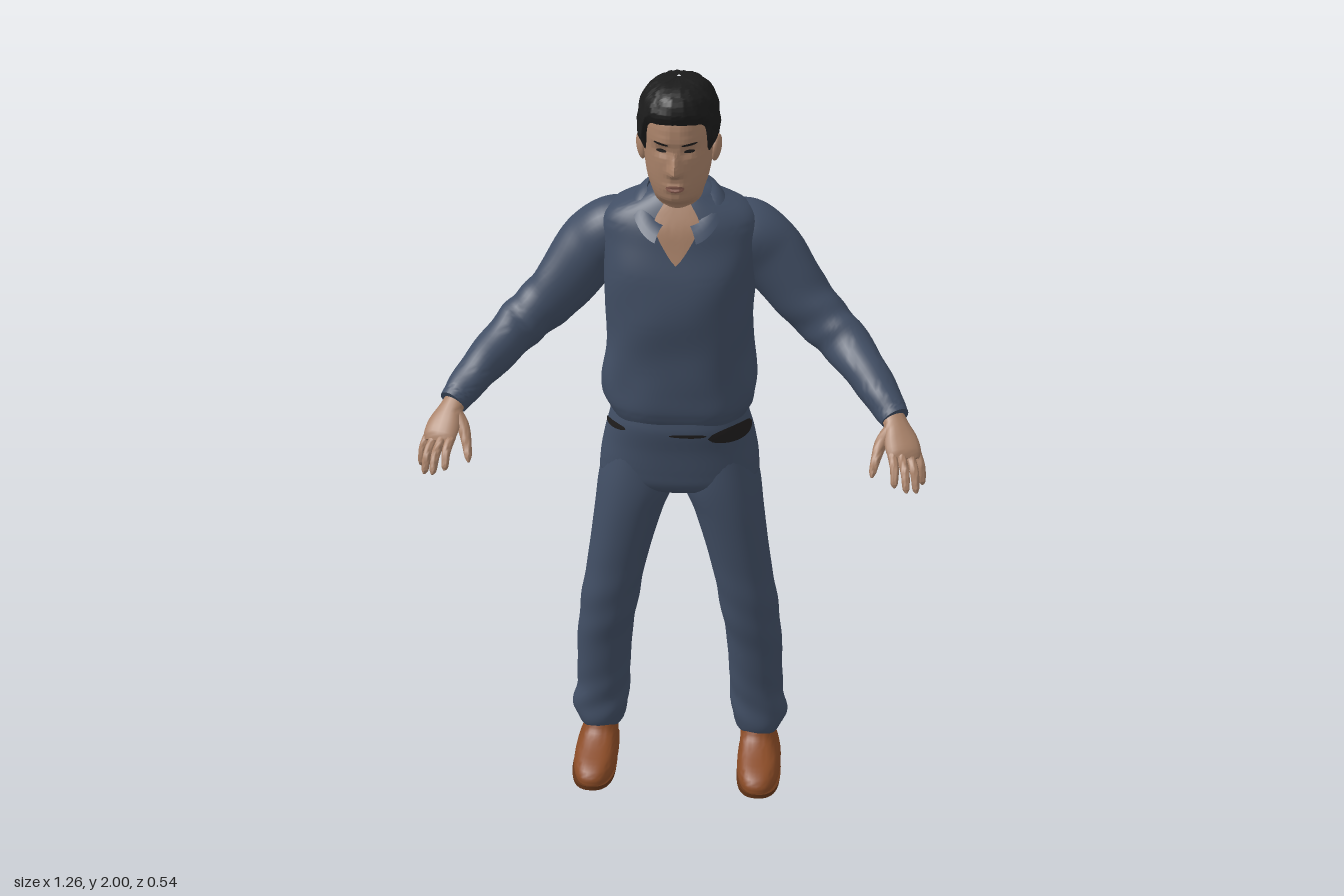
import * as THREE from 'three';
import { toCreasedNormals } from 'three/addons/utils/BufferGeometryUtils.js';

const mat = (name, color, side = THREE.FrontSide) => Object.assign(new THREE.MeshStandardMaterial({ color, side }), { name });
const { sin, cos, abs, sign, PI, min, exp, sqrt } = Math;
const gauss = (d, w) => exp(-((d / w) ** 2));

// Smooth interpolation of table rows, keyed by their first column
function at(rows, k) {
  let i = 0;
  while (i < rows.length - 2 && rows[i + 1][0] <= k) i++;
  const a = rows[i], b = rows[i + 1], p = rows[i - 1] || a, q = rows[i + 2] || b;
  const h = b[0] - a[0], t = THREE.MathUtils.clamp((k - a[0]) / h, 0, 1), t2 = t * t, t3 = t2 * t;
  return a.map((av, c) => {
    const m0 = (b[c] - p[c]) / (b[0] - p[0]) * h, m1 = (q[c] - av) / (q[0] - a[0]) * h;
    return (2 * t3 - 3 * t2 + 1) * av + (t3 - 2 * t2 + t) * m0 + (3 * t2 - 2 * t3) * b[c] + (t3 - t2) * m1;
  });
}

// Surface from a grid of points; point(i, j) returns a Vector3
function grid(point, nu, nv, wrap) {
  const pos = [], idx = [], w = wrap ? nu : nu + 1;
  for (let j = 0; j <= nv; j++) for (let i = 0; i < w; i++) pos.push(...point(i, j).toArray());
  for (let j = 0; j < nv; j++) for (let i = 0; i < nu; i++) {
    const a = j * w + i, b = j * w + (i + 1) % w;
    idx.push(a, b, b + w, a, b + w, a + w);
  }
  const g = new THREE.BufferGeometry();
  g.setAttribute('position', new THREE.Float32BufferAttribute(pos, 3));
  g.setIndex(idx);
  return toCreasedNormals(g, 1.0);
}

// Upright body surface. Rows: [y, centre x, half width, front z, back z]
const body = (rows, e = 1, ripple = () => 0) => (th, y) => {
  const [, cx, rx, zf, zb] = at(rows, y), s = sin(th), c = cos(th), k = 1 + ripple(th, y);
  return new THREE.Vector3(cx + k * rx * sign(s) * abs(s) ** e, y, (zf + zb) / 2 + k * (zf - zb) / 2 * sign(c) * abs(c) ** e);
};

// Closed solid of an upright surface between two heights
function solid(surf, y0, y1, nu = 48, nv = 48) {
  return grid((i, j) => {
    const y = y0 + (y1 - y0) * THREE.MathUtils.clamp((j - 1) / (nv - 2), 0, 1);
    const p = surf(i / nu * 2 * PI, y);
    return j === 0 || j === nv ? p.add(surf(i / nu * 2 * PI + PI, y)).multiplyScalar(0.5) : p;
  }, nu, nv, true);
}

// Thin plate following a surface
function patch(surf, t0, t1, low, high, off = 0.004) {
  return grid((i, j) => {
    const f = i / 16, th = t0 + (t1 - t0) * f, y = low(f) + (high(f) - low(f)) * j / 8;
    return surf(th, y).add(new THREE.Vector3(sin(th) * off, 0, cos(th) * off));
  }, 16, 8, false);
}
const oval = (surf, t0, t1, y, h, off, tilt = 0) => {
  const edge = d => f => y + tilt * (f - 0.5) + d * h * sqrt(Math.max(0, 1 - (2 * f - 1) ** 2));
  return patch(surf, t0, t1, edge(-1), edge(1), off);
};

// Limb swept along a smooth path. Rows: [x, y, z, thickness, breadth]
function limb(rows, s, nu = 24, nv = 30, ripple = () => 0) {
  const curve = new THREE.CatmullRomCurve3(rows.map(r => new THREE.Vector3(r[0] * s, r[1], r[2])));
  const radii = rows.map((r, i) => [i / (rows.length - 1), r[3], r[4]]);
  return grid((i, j) => {
    const t = THREE.MathUtils.clamp((j - 1) / (nv - 2), 0, 1), c = curve.getPoint(t), d = curve.getTangent(t);
    if (j === 0 || j === nv) return c;
    const side = new THREE.Vector3(0, 1, 0).cross(d).negate().normalize(), up = side.clone().cross(d);
    const [, a, b] = at(radii, t), f = i / nu * 2 * PI, k = 1 + ripple(f, t);
    return c.addScaledVector(side, cos(f) * b * k).addScaledVector(up, -sin(f) * a * k);
  }, nu, nv, true);
}

export function createModel() {
  const model = new THREE.Group();
  const cloth = mat('blue cloth', 0x414e64), collarCloth = mat('collar cloth', 0x414e64, THREE.DoubleSide);
  const skin = mat('skin', 0xa98269), hairMat = mat('black hair', 0x1b1b1b), dark = mat('dark detail', 0x1f1d1d, THREE.DoubleSide);
  const lipMat = mat('lips', 0x8d5f52), leather = mat('brown leather', 0x8a4b26), soleMat = mat('sole', 0x653619);
  const add = (name, geo, m) => {
    const mesh = new THREE.Mesh(geo, m);
    mesh.name = name;
    model.add(mesh);
    return mesh;
  };

  // Shirt
  const shirt = body([[1.09, 0, .17, .015, -.225], [1.115, 0, .183, .025, -.238], [1.14, 0, .196, .03, -.25], [1.19, 0, .2, .03, -.255],
    [1.29, 0, .188, .032, -.265], [1.4, 0, .188, .04, -.275], [1.5, 0, .195, .032, -.275], [1.58, 0, .2, .01, -.262],
    [1.63, 0, .192, -.002, -.243], [1.66, 0, .165, -.015, -.222], [1.69, 0, .105, -.03, -.193], [1.71, 0, .07, -.045, -.165]], .8,
  (t, y) => .014 * sin(9 * t + 14 * y) * gauss(y - 1.17, .07) + .008 * sin(5 * t - 30 * y) - .035 * gauss(cos(t) + 1, .02) * gauss(y - 1.4, .2));
  add('shirt', solid(shirt, 1.09, 1.71, 72, 64), cloth);
  add('open neckline', patch(shirt, -.23, .23, f => 1.545 + .2 * abs(f - .5), () => 1.69), skin);

  // Collar folded over around the neck
  const inner = [[0, .075, 1.635], [.6, .075, 1.65], [1.57, .08, 1.708], [3.15, .08, 1.73]];
  const outer = [[0, .12, 1.6], [.6, .125, 1.618], [1.57, .115, 1.683], [3.15, .11, 1.675]];
  add('collar', grid((i, j) => {
    const th = .42 + (2 * PI - .84) * i / 48, a = th > PI ? 2 * PI - th : th;
    const [, r0, y0] = at(inner, a), [, r1, y1] = at(outer, a), f = Math.max(0, j - 2) / 4;
    const r = r0 + (r1 - r0) * f, y = j < 2 ? y0 - .03 * (2 - j) : y0 + (y1 - y0) * f * f;
    return new THREE.Vector3(sin(th) * r, y, -.088 + cos(th) * (r + .012));
  }, 48, 6, false), collarCloth);

  // Trousers: hips, then both legs
  const hips = body([[.865, 0, .03, -.07, -.14], [.885, 0, .13, -.02, -.2], [.91, 0, .2, .003, -.222], [.95, 0, .208, .01, -.235],
    [1.02, 0, .197, .016, -.25], [1.08, 0, .182, .024, -.238], [1.11, 0, .175, .02, -.225]], .82,
  (t, y) => -.05 * gauss(cos(t) + 1, .02) * gauss(y - .93, .07));
  add('hips', solid(hips, .865, 1.11, 64, 30), cloth);
  add('belt pouch', oval(hips, .36, 1.36, 1.077, .022, .012, .012), dark);
  add('beltEnd', oval(hips, -1.35, -.68, 1.08, .009, .008), dark);
  add('beltFront', oval(hips, -.06, .36, 1.077, .005, .006), dark);

  for (const s of [1, -1]) {
    const side = s > 0 ? 'left' : 'right';
    const leg = body([[.1, .22, .055, -.06, -.18], [.115, .22, .064, -.05, -.19], [.15, .222, .076, -.046, -.197], [.23, .213, .073, -.048, -.195],
      [.39, .205, .075, -.03, -.195], [.52, .188, .078, -.01, -.192], [.65, .165, .08, -.003, -.187], [.81, .132, .092, .005, -.204],
      [.9, .109, .104, .005, -.22], [1, .1, .09, -.005, -.225]].map(r => [r[0], r[1] * s, ...r.slice(2)]), .92,
    (t, y) => .035 * sin(60 * y + 3 * s * t) * gauss(y - .17, .1) + .02 * sin(45 * y + 2 * s * t) * gauss(y - .5, .12));
    add(side + 'Leg', solid(leg, .1, 1, 40, 80), cloth);

    // Shoe with sole and heel
    const shoe = body([[.012, .227, .056, .098, -.188], [.03, .227, .06, .1, -.192], [.05, .226, .058, .088, -.192], [.065, .225, .054, .06, -.19],
      [.08, .222, .05, .01, -.188], [.1, .22, .048, -.035, -.185], [.14, .22, .044, -.06, -.175]].map(r => [r[0], r[1] * s, ...r.slice(2)]), .8);
    add(side + 'Shoe', solid(shoe, .012, .14, 40, 24), leather);
    const sole = body([[.006, .228 * s, .059, .101, -.11], [.02, .228 * s, .061, .103, -.12]], .8);
    const heel = body([[0, .226 * s, .05, -.1, -.192], [.02, .226 * s, .052, -.095, -.195]], .7);
    add(side + 'Sole', solid(sole, .006, .02, 40, 6), soleMat);
    add(side + 'Heel', solid(heel, 0, .02, 32, 6), soleMat);

    // Sleeve
    add(side + 'Sleeve', limb([[.1, 1.605, -.135, .06, .07], [.165, 1.573, -.142, .088, .09], [.225, 1.52, -.142, .09, .085], [.3, 1.425, -.118, .078, .066],
      [.36, 1.365, -.1, .07, .06], [.415, 1.32, -.07, .064, .06], [.485, 1.262, .02, .053, .052], [.535, 1.215, .09, .042, .043],
      [.552, 1.198, .117, .036, .037]], s, 32, 60,
    (f, t) => .035 * sin(48 * t + 2 * f) * gauss(t - .62, .25) + .02 * sin(3 * f + 20 * t)), cloth);

    // Hand: palm, four fingers and a thumb
    const hand = { Palm: [[.54, 1.21, .1, .024, .028], [.555, 1.187, .132, .021, .032], [.567, 1.163, .16, .02, .043], [.576, 1.14, .188, .016, .044], [.58, 1.128, .2, .008, .036]] };
    [['Index', .546, 1.14, .193, .555, 1.082, .262], ['Middle', .568, 1.137, .195, .585, 1.072, .268],
      ['Ring', .59, 1.134, .185, .61, 1.06, .245], ['Little', .606, 1.135, .168, .626, 1.06, .2]].forEach(([n, x, y, z, X, Y, Z]) => {
      hand[n + 'Finger'] = [[x, y, z, .012, .012], [(x + X) / 2 + .003, (y + Y) / 2 + .006, (z + Z) / 2 + .004, .011, .011],
        [X * .9 + x * .1, Y * .9 + y * .1, Z * .9 + z * .1, .0085, .0085], [X, Y, Z, .003, .003]];
    });
    hand.Thumb = [[.545, 1.185, .135, .016, .016], [.52, 1.155, .165, .016, .016], [.507, 1.122, .198, .012, .012], [.501, 1.1, .22, .009, .009], [.499, 1.09, .23, .003, .003]];
    for (const [n, rows] of Object.entries(hand)) add(side + n, limb(rows, s, 16, 16), skin);
  }

  // Head and neck, with the features raised by rule
  const skull = body([[1.58, 0, .062, -.035, -.15], [1.67, 0, .06, -.025, -.155], [1.695, 0, .06, -.012, -.158], [1.708, 0, .06, .014, -.16],
    [1.725, 0, .064, .033, -.163], [1.755, 0, .074, .04, -.172], [1.79, 0, .081, .043, -.185], [1.845, 0, .086, .043, -.195],
    [1.9, 0, .087, .044, -.198], [1.94, 0, .08, .03, -.188], [1.965, 0, .064, .01, -.165], [1.98, 0, .04, -.02, -.13], [1.985, 0, .004, -.075, -.085]]);
  const head = (th, y) => {
    const p = skull(th, y);
    if (cos(th) > 0) {
      const x = abs(p.x), dy = y - 1.797;
      p.z += .026 * gauss(x, .008 + .006 * gauss(dy, .02)) * gauss(dy, dy > 0 ? .036 : .011);
      p.z -= .009 * gauss(x - .032, .019) * gauss(y - 1.848, .013);
      p.z += .007 * gauss(x, .024) * gauss(abs(y - 1.756) - .006, .006) + .005 * gauss(x, .025) * gauss(y - 1.72, .012);
      p.z += .004 * gauss(x - .03, .025) * gauss(y - 1.873, .01);
    }
    return p;
  };
  add('head', solid(head, 1.58, 1.985, 112, 110), skin);
  add('lips', oval(head, -.31, .31, 1.756, .009, .002), lipMat);
  for (const s of [1, -1]) {
    const side = s > 0 ? 'left' : 'right', span = (a, b) => s > 0 ? [a, b] : [-b, -a];
    add(side + 'Eye', oval(head, ...span(.24, .56), 1.848, .0045, .002), dark);
    add(side + 'Eyebrow', oval(head, ...span(.17, .64), 1.868, .0035, .002, .004 * s), dark);
    const ear = add(side + 'Ear', new THREE.SphereGeometry(1, 16, 12), skin);
    ear.scale.set(.011, .034, .02);
    ear.position.set(s * .092, 1.822, -.075);
    ear.rotation.set(-.2, s * -.35, s * -.15);
  }

  // Hair: a shell over the skull with sideburns and a cropped nape
  const hairline = [[0, 1.914], [.5, 1.91], [.92, 1.895], [1.06, 1.835], [1.3, 1.83], [1.4, 1.852], [1.66, 1.85], [1.82, 1.8], [2.3, 1.765], [3.15, 1.757]];
  const centre = new THREE.Vector3(0, 1.86, -.08);
  add('hair', grid((i, j) => {
    const th = i / 96 * 2 * PI, v = j / 48, low = at(hairline, th > PI ? 2 * PI - th : th)[1];
    const y = low + (1.985 - low) * sin(v * PI / 2), p = skull(th, y);
    const fade = min(1, v * 7), quiff = .006 * gauss(th > PI ? 2 * PI - th : th, .8) * gauss(y - 1.955, .02);
    const tuft = .002 * sin(13 * th + 90 * y) * sin(60 * y - 7 * th) * min(1, (1 - v) * 6);
    return p.addScaledVector(p.clone().sub(centre).normalize(), -.002 + (.016 + quiff + tuft) * fade);
  }, 96, 48, true), hairMat);

  return model;
}
